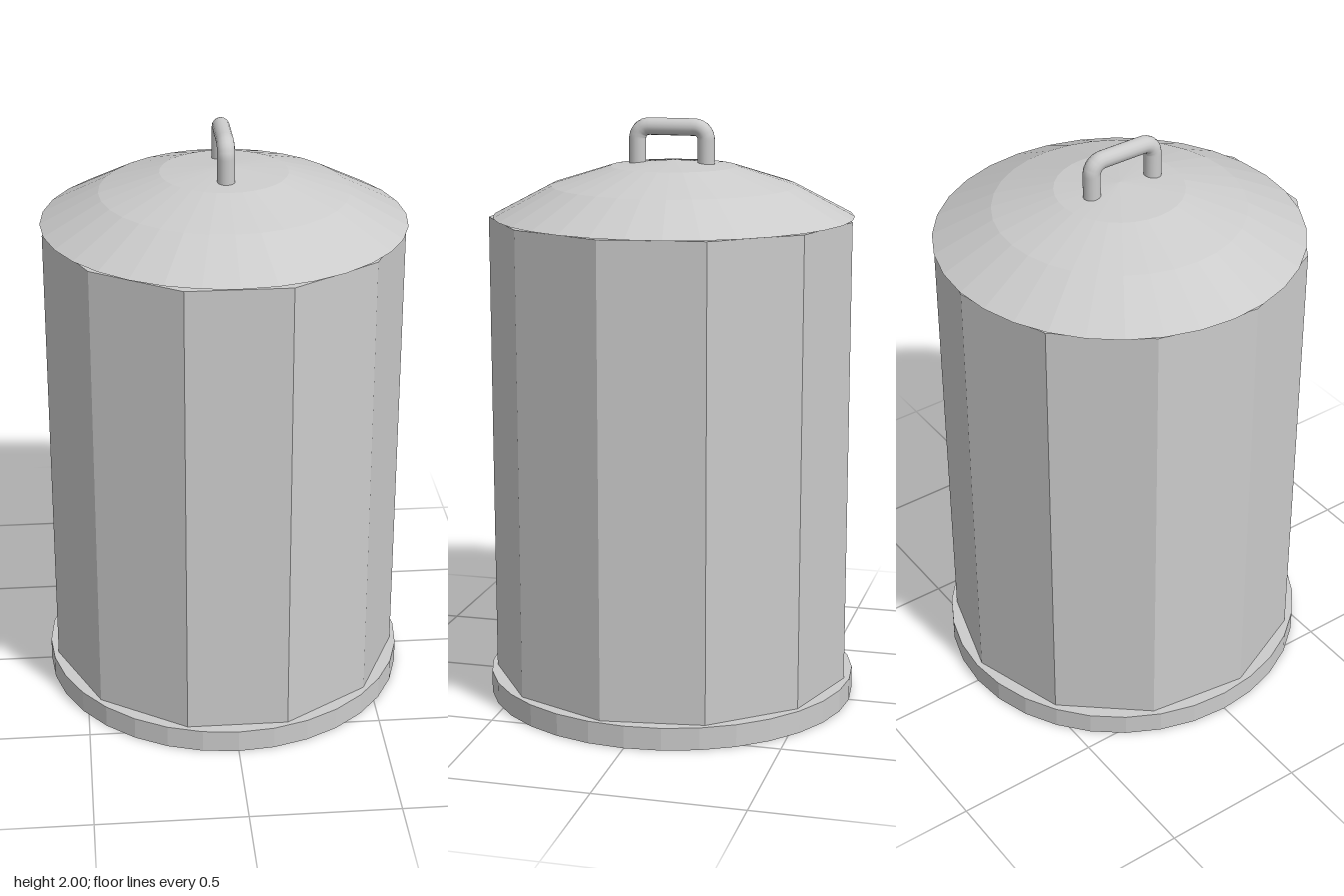
import * as THREE from 'three';

const flat = new THREE.MeshStandardMaterial({ color: 0xcccccc, flatShading: true });
const smooth = new THREE.MeshStandardMaterial({ color: 0xcccccc });

function addPart(group, name, geometry, material) {
  const mesh = new THREE.Mesh(geometry, material);
  mesh.name = name;
  group.add(mesh);
  return mesh;
}

export function createModel() {
  const group = new THREE.Group();
  group.name = 'dustbin';
  const depth = 1.022; // base and body are slightly deeper than wide

  // Base: low solid disc
  const base = new THREE.CylinderGeometry(0.624, 0.624, 0.077, 32);
  base.scale(1, 1, depth);
  base.translate(0, 0.0385, 0);
  addPart(group, 'base', base, flat);

  // Body: eleven flat panels, one corner pointing straight back
  const body = new THREE.CylinderGeometry(0.605, 0.605, 1.62, 11);
  body.rotateY(Math.PI);
  body.scale(1, 1, depth);
  body.translate(0, 0.05 + 0.81, 0);
  addPart(group, 'body', body, flat);

  // Lid: shallow dome in three bands, closed underneath
  const profile = [[0, 1.675], [0.61, 1.675], [0.415, 1.778], [0.213, 1.842], [0, 1.862]]
    .map(([r, y]) => new THREE.Vector2(r, y));
  const lid = addPart(group, 'lid', new THREE.LatheGeometry(profile, 32), flat);
  lid.position.set(0.004, 0, -0.008);

  // Handle: round bar bent into a bracket with rounded corners
  const v = (y, z) => new THREE.Vector3(0, y, z);
  const top = 1.971, reach = 0.119, bend = 0.04;
  const points = [v(1.842, reach)];
  for (const side of [1, -1]) {
    for (let i = 0; i <= 6; i++) {
      const a = (side > 0 ? i : 6 - i) / 6 * Math.PI / 2;
      points.push(v(top - bend + bend * Math.sin(a), side * (reach - bend + bend * Math.cos(a))));
    }
  }
  points.push(v(1.842, -reach));
  const path = new THREE.CurvePath();
  for (let i = 1; i < points.length; i++) path.add(new THREE.LineCurve3(points[i - 1], points[i]));
  addPart(group, 'handle', new THREE.TubeGeometry(path, 64, 0.029, 16), smooth);

  return group;
}
